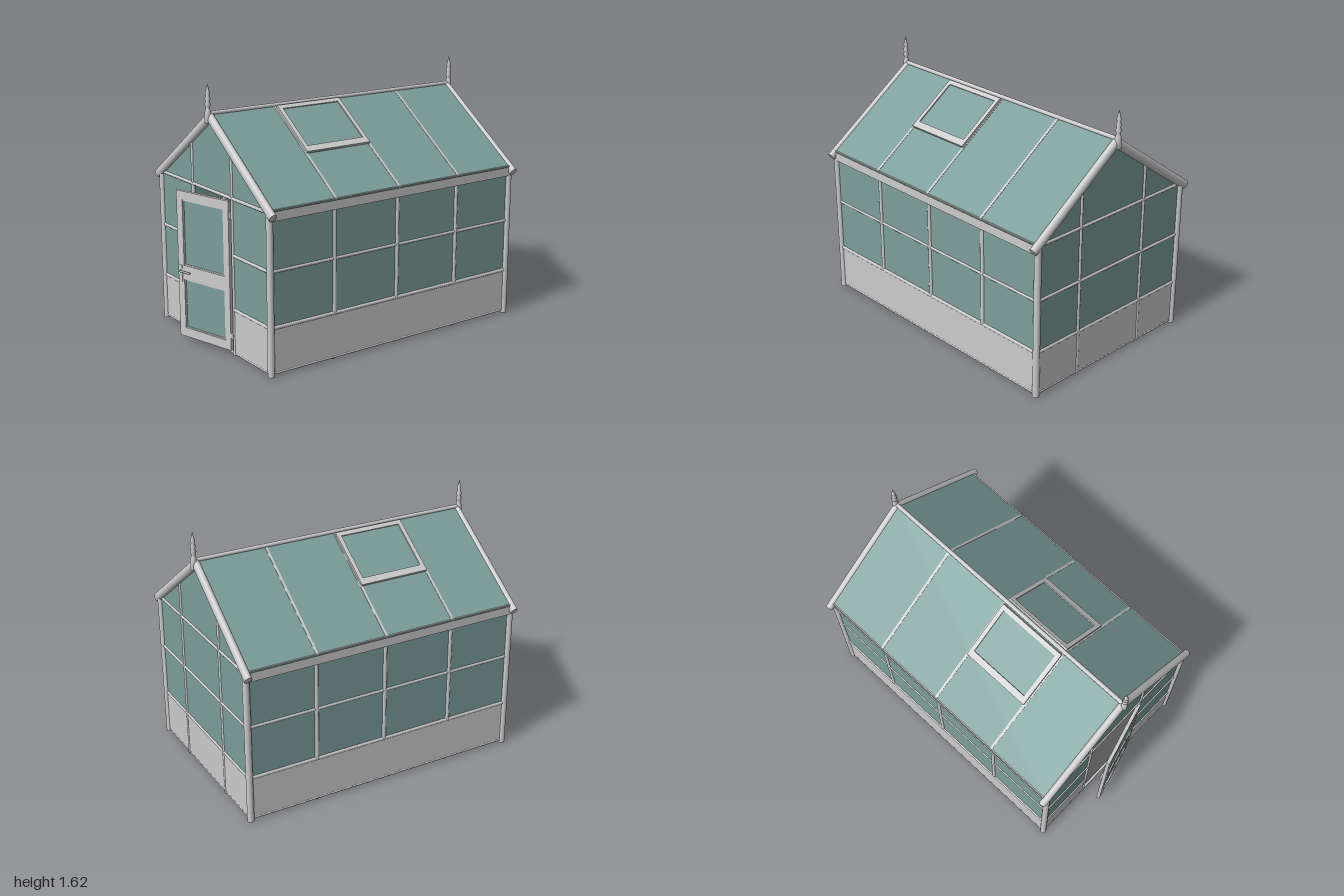
import * as THREE from 'three';

const ZF = 0.855, ZB = -0.965, ZC = (ZF + ZB) / 2, LEN = ZF - ZB; // end wall planes
const XW = 0.611;                                                  // side wall plane
const APEX = 1.435, SLOPE = 0.709, ANG = Math.atan(SLOPE);         // roof pitch
const BAYS = [0.41, -0.055, -0.52];                                // glazing bar positions
const roofY = x => APEX - SLOPE * Math.abs(x);

export function createModel() {
  const root = new THREE.Group();
  const grey = new THREE.MeshStandardMaterial({ color: 0xcccccc });
  const glass = new THREE.MeshStandardMaterial({ color: 0x7c9e9a });
  const dark = new THREE.MeshStandardMaterial({ color: 0x555555 });

  const add = (parent, name, geo, mat = grey) => {
    const m = new THREE.Mesh(geo, mat);
    m.name = name;
    parent.add(m);
    return m;
  };
  // box given by its extents on each axis
  const box = (parent, name, [x0, x1], [y0, y1], [z0, z1], mat) => {
    const m = add(parent, name, new THREE.BoxGeometry(Math.abs(x1 - x0), y1 - y0, Math.abs(z1 - z0)), mat);
    m.position.set((x0 + x1) / 2, (y0 + y1) / 2, (z0 + z1) / 2);
    return m;
  };
  // round bar between two points
  const rod = (parent, name, a, b, r) => {
    const p = new THREE.Vector3(...a), q = new THREE.Vector3(...b);
    const m = add(parent, name, new THREE.CylinderGeometry(r, r, p.distanceTo(q), 16));
    m.position.copy(p).add(q).multiplyScalar(0.5);
    m.quaternion.setFromUnitVectors(new THREE.Vector3(0, 1, 0), q.sub(p).normalize());
    return m;
  };

  // floor
  box(root, 'floor', [-XW, XW], [0.012, 0.02], [ZB, ZF], dark);

  // corner posts
  for (const x of [-XW, XW]) for (const z of [ZF, ZB])
    rod(root, 'cornerPost', [x, 0, z], [x, 0.99, z], 0.021);

  // side walls
  for (const s of [-1, 1]) {
    const side = new THREE.Group();
    side.name = s > 0 ? 'leftWall' : 'rightWall';
    root.add(side);
    const x = s * XW;
    box(side, 'basePanel', [x - 0.006, x + 0.006], [0.012, 0.295], [ZB, ZF]);
    box(side, 'wallGlass', [x - 0.003, x + 0.003], [0.295, 0.97], [ZB, ZF], glass);
    for (const [y, r] of [[0.018, 0.008], [0.293, 0.012], [0.628, 0.01]])
      rod(side, 'rail', [x, y, ZB], [x, y, ZF], r);
    for (const z of BAYS) {
      rod(side, 'glazingBar', [x, 0.29, z], [x, 0.97, z], 0.0135);
      rod(side, 'barFoot', [x - s * 0.012, 0.003, z], [x - s * 0.012, 0.03, z], 0.012);
    }
    box(side, 'gutter', [s * 0.595, s * 0.632], [0.925, 0.992], [ZB, ZF]);
  }

  // end walls; the front one leaves the doorway open
  const endWall = (name, z, xb, open) => {
    const wall = new THREE.Group();
    wall.name = name;
    root.add(wall);
    const spans = open ? [[-XW, -xb], [xb, XW]] : [[-XW, XW]];
    for (const [a, b] of spans) {
      box(wall, 'basePanel', [a, b], [0.012, 0.295], [z - 0.006, z + 0.006]);
      box(wall, 'wallGlass', [a, b], [0.295, 0.97], [z - 0.003, z + 0.003], glass);
      for (const y of [0.293, 0.628]) rod(wall, 'rail', [a, y, z], [b, y, z], 0.011);
    }
    rod(wall, 'sill', [-XW, 0.018, z], [XW, 0.018, z], 0.008);
    rod(wall, 'topRail', [-XW, 0.972, z], [XW, 0.972, z], 0.011);
    const tri = new THREE.Shape([
      new THREE.Vector2(-XW, 0.97), new THREE.Vector2(XW, 0.97),
      new THREE.Vector2(XW, roofY(XW) - 0.01), new THREE.Vector2(0, APEX - 0.01),
      new THREE.Vector2(-XW, roofY(XW) - 0.01)]);
    add(wall, 'gableGlass', new THREE.ExtrudeGeometry(tri, { depth: 0.006, bevelEnabled: false }), glass)
      .position.z = z - 0.003;
    for (const s of [-1, 1])
      rod(wall, 'upright', [s * xb, 0.003, z], [s * xb, roofY(xb) - 0.02, z], 0.0115);

    // half-round barge boards, mitred at the ridge
    const L = 0.8;
    for (const s of [-1, 1]) {
      const g = new THREE.CylinderGeometry(0.029, 0.029, L, 24);
      g.scale(1, 1, 0.8).translate(0, -L / 2, 0);
      const p = g.attributes.position;
      for (let i = 0; i < p.count; i++)
        if (p.getY(i) > -0.01) p.setY(i, s * p.getX(i) * SLOPE);
      const m = add(wall, 'bargeBoard', g);
      m.position.set(0, APEX - 0.022, z + Math.sign(z) * 0.003);
      m.rotation.z = s * (Math.PI / 2 - ANG);
    }

    // turned finial
    const profile = [[0, 1.375], [0.02, 1.38], [0.02, 1.44], [0.014, 1.46], [0.012, 1.475], [0.019, 1.49],
      [0.012, 1.505], [0.017, 1.525], [0.01, 1.54], [0.014, 1.555], [0.007, 1.585], [0, 1.615]];
    add(wall, 'finial', new THREE.LatheGeometry(profile.map(q => new THREE.Vector2(...q)), 20))
      .position.set(0, 0, z + Math.sign(z) * 0.016);
  };
  endWall('frontWall', ZF, 0.224, true);
  endWall('backWall', ZB, 0.27, false);

  // roof slopes, local x runs down the slope
  const run = 0.635 / Math.cos(ANG);
  for (const s of [-1, 1]) {
    const roof = new THREE.Group();
    roof.name = s > 0 ? 'leftRoof' : 'rightRoof';
    roof.position.y = APEX;
    roof.rotation.z = -s * ANG;
    root.add(roof);
    box(roof, 'roofGlass', [0, s * run], [-0.008, 0], [ZB, ZF], glass);
    for (const z of BAYS)
      box(roof, 'roofBar', [0, s * run], [-0.014, 0.002], [z - 0.008, z + 0.008]);

    // roof vent
    const vent = new THREE.Group();
    vent.name = 'roofVent';
    roof.add(vent);
    const d0 = 0.02, d1 = 0.41, z0 = -0.055, z1 = 0.408, h = [0, 0.017];
    box(vent, 'ventGlass', [s * d0, s * d1], [0, 0.01], [z0 + 0.01, z1 - 0.01], glass);
    box(vent, 'ventTopFrame', [s * d0, s * (d0 + 0.03)], h, [z0, z1]);
    box(vent, 'ventBottomFrame', [s * (d1 - 0.045), s * d1], h, [z0, z1]);
    box(vent, 'ventSideFrame', [s * d0, s * d1], h, [z0, z0 + 0.027]);
    box(vent, 'ventSideFrame', [s * d0, s * d1], h, [z1 - 0.027, z1]);
  }
  rod(root, 'ridge', [0, APEX + 0.001, ZB], [0, APEX + 0.001, ZF], 0.013);

  // door, hinged on its left edge and standing ajar
  const door = new THREE.Group();
  door.name = 'door';
  door.position.set(0.205, 0, 0.865);
  door.rotation.y = 0.265;
  root.add(door);
  const rect = (T, x0, x1, y0, y1) => new T([[x0, y0], [x1, y0], [x1, y1], [x0, y1]].map(q => new THREE.Vector2(...q)));
  const leaf = rect(THREE.Shape, -0.425, 0, 0.033, 0.955);
  for (const [y0, y1] of [[0.09, 0.405], [0.49, 0.903]]) {
    const [a, b] = [-0.376, -0.04];
    leaf.holes.push(rect(THREE.Path, a, b, y0, y1));
    box(door, 'doorGlass', [a, b], [y0, y1], [-0.003, 0.003], glass);
    const bead = rect(THREE.Shape, a, b, y0, y1);
    bead.holes.push(rect(THREE.Path, a + 0.008, b - 0.008, y0 + 0.008, y1 - 0.008));
    add(door, 'glassBead', new THREE.ExtrudeGeometry(bead, { depth: 0.014, bevelEnabled: false })).position.z = -0.007;
  }
  add(door, 'doorFrame', new THREE.ExtrudeGeometry(leaf, { depth: 0.022, bevelEnabled: false })).position.z = -0.011;

  // handles on both faces
  for (const f of [-1, 1]) {
    box(door, 'handlePlate', [-0.415, -0.39], [0.385, 0.49], [f * 0.01, f * 0.014]);
    rod(door, 'handleStem', [-0.402, 0.452, f * 0.01], [-0.402, 0.452, f * 0.026], 0.007);
    rod(door, 'handleLever', [-0.408, 0.452, f * 0.024], [-0.318, 0.452, f * 0.024], 0.006);
  }
  // hinges
  for (const y of [0.12, 0.87]) rod(door, 'hinge', [0.002, y - 0.02, 0], [0.002, y + 0.02, 0], 0.008);

  return root;
}
